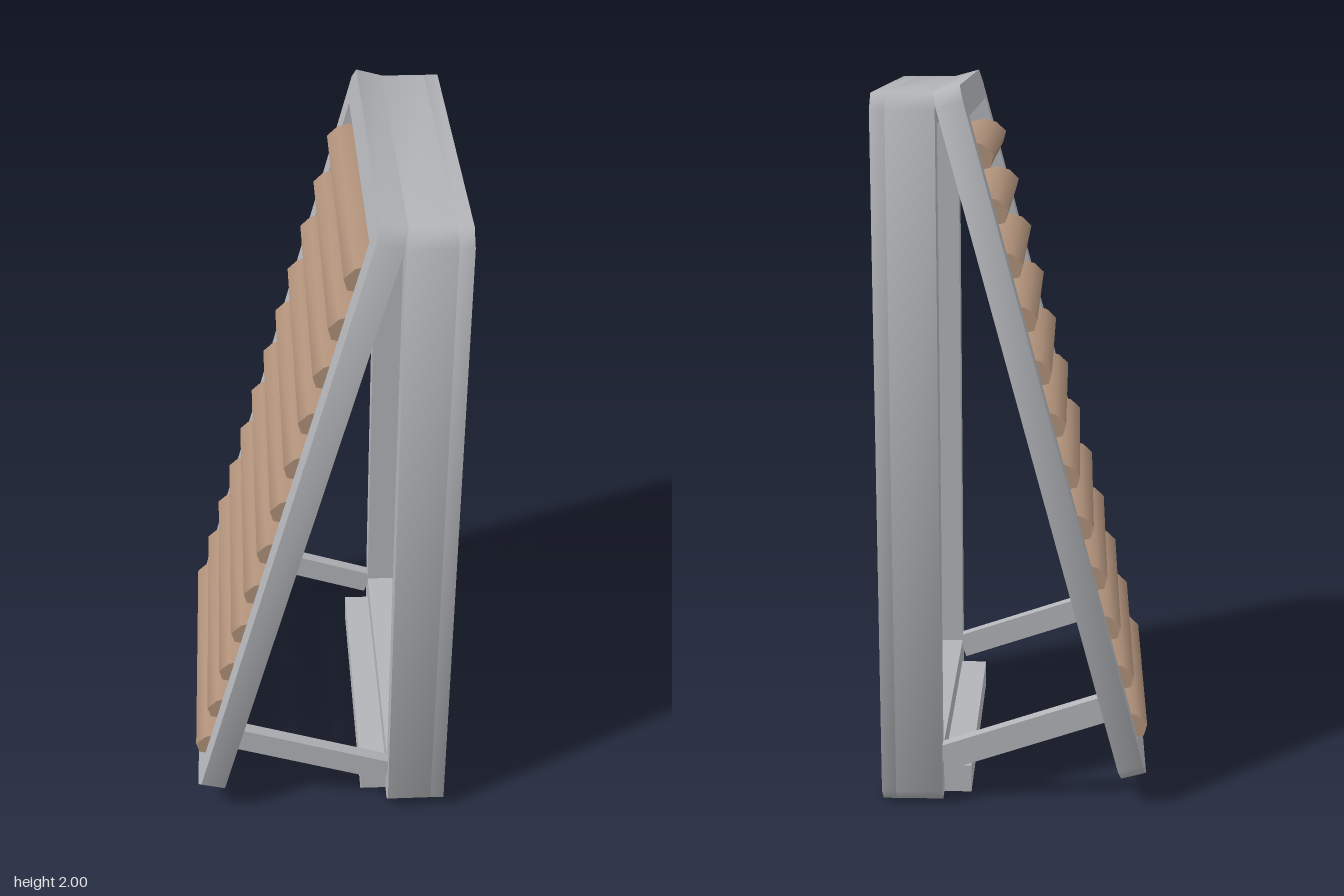
import * as THREE from 'three';
import { toCreasedNormals } from 'three/addons/utils/BufferGeometryUtils.js';

const HEIGHT = 1.98, HALF = 0.495, CUT = 0.04, TILT = Math.PI / 12;

// Upright plate with cut corners, extruded along x from 0 to depth; rim = [side, bottom, top] opens it
function plate(depth, rim) {
  const h = HEIGHT, w = HALF, c = CUT;
  const shape = new THREE.Shape([
    [-w + c, 0], [w - c, 0], [w, c], [w, h - c], [w - c, h], [-w + c, h], [-w, h - c], [-w, c],
  ].map(([x, y]) => new THREE.Vector2(x, y)));
  if (rim) {
    const [s, b, t] = rim;
    shape.holes.push(new THREE.Path([
      [-w + s, b], [-w + s, h - t], [w - s, h - t], [w - s, b],
    ].map(([x, y]) => new THREE.Vector2(x, y))));
  }
  const g = new THREE.ExtrudeGeometry(shape, { depth, bevelEnabled: false });
  g.rotateY(Math.PI / 2);
  return toCreasedNormals(g, 0.9);
}

// Louvre slat: flattened eight-sided bar running along z
function slatGeometry(length) {
  const shape = new THREE.Shape([
    [0.055, -0.017], [0.055, 0.017], [0.02, 0.036], [-0.02, 0.036],
    [-0.055, 0.017], [-0.055, -0.017], [-0.02, -0.036], [0.02, -0.036],
  ].map(([x, y]) => new THREE.Vector2(x, y)));
  const g = new THREE.ExtrudeGeometry(shape, { depth: length, bevelEnabled: false });
  g.translate(0, 0, -length / 2);
  return toCreasedNormals(g, 1.2);
}

export function createModel() {
  const model = new THREE.Group();
  model.name = 'louvredPanel';
  const grey = new THREE.MeshStandardMaterial({ color: 0xb2b4b8 });
  grey.name = 'grey metal';
  const brown = new THREE.MeshStandardMaterial({ color: 0xb0917a });
  brown.name = 'brown slat';

  function add(name, geometry, material, x, y, z = 0, tilt = 0) {
    const mesh = new THREE.Mesh(geometry, material);
    mesh.name = name;
    mesh.position.set(x, y, z);
    mesh.rotation.z = tilt;
    model.add(mesh);
    return mesh;
  }

  // Upright panel: recessed casing closed by a back plate
  add('casingRim', plate(0.13, [0.07, 0.15, 0.08]), grey, 0.203, 0);
  add('casingBack', plate(0.04), grey, 0.333, 0);

  // Shallow ribs inside the casing
  for (let i = 0; i < 4; i++) {
    add('casingRib', new THREE.BoxGeometry(0.012, 0.08, 0.85), grey, 0.328, 0.6 + i * 0.4);
  }

  // Ledge at the foot
  add('footLedge', new THREE.BoxGeometry(0.08, 0.08, 0.82), grey, 0.165, 0.042);

  // Leaning shutter frame
  add('shutterFrame', plate(0.073, [0.082, 0.085, 0.085]), grey, -0.372, 0.0875, 0, -TILT);

  // Louvre slats, outer edges pointing down
  const slat = slatGeometry(0.826);
  for (let i = 0; i < 12; i++) {
    add('slat', slat, brown, 0.113 - i * 0.0391, 1.814 - i * 0.1455, 0, TILT);
  }

  // Stays holding the shutter open
  for (const side of [-1, 1]) {
    add('stay', new THREE.BoxGeometry(0.48, 0.075, 0.035), grey, -0.024, 0.204, side * 0.448, -0.326);
  }

  return model;
}
